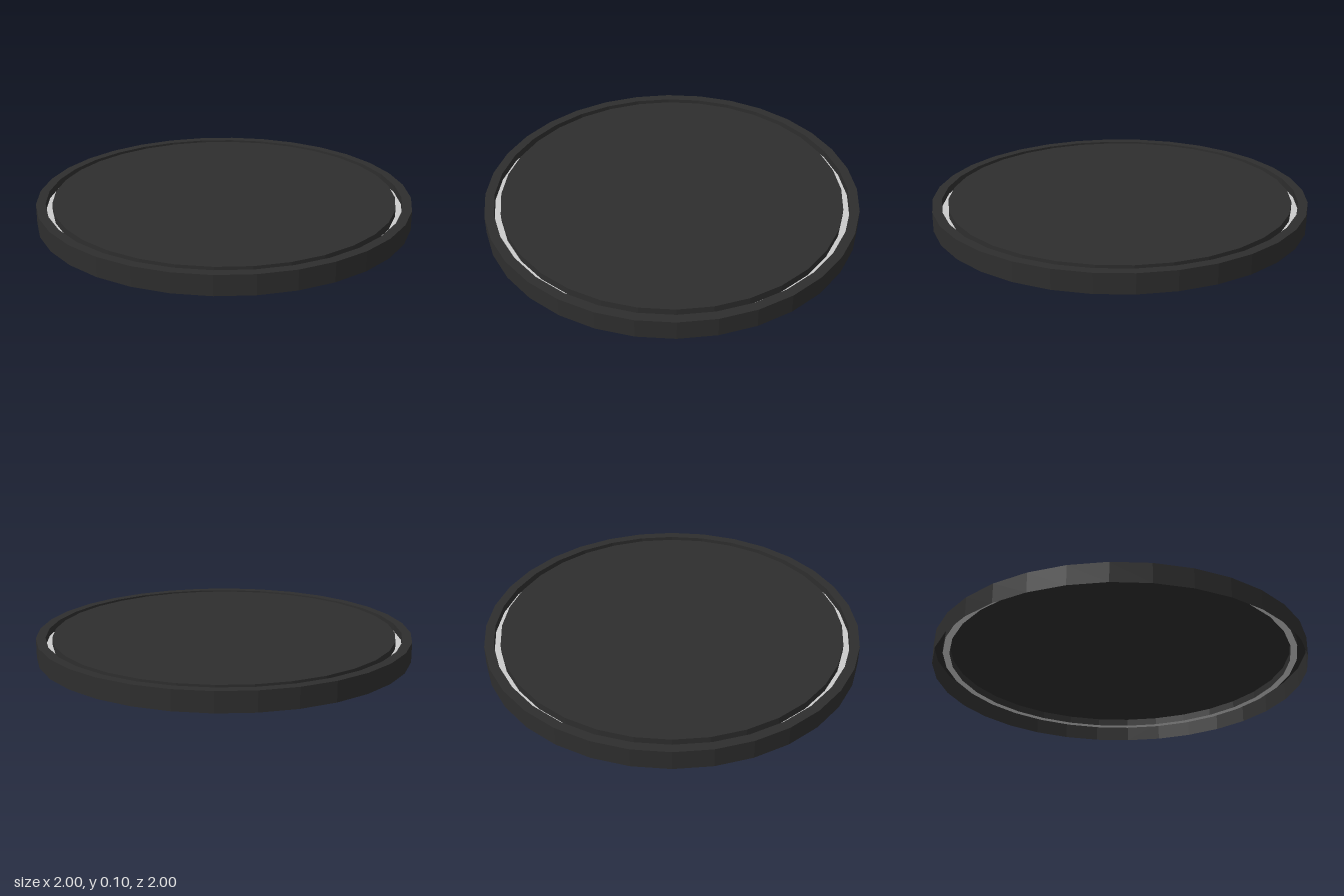
import * as THREE from 'three';

const SIDES = 32;
const TOP = 0.105;    // height of rim and disc
const FLOOR = 0.065;  // bottom of the groove
const OUTER = 1, GROOVE_OUT = 0.95, GROOVE_IN = 0.915;

const dark = new THREE.MeshStandardMaterial({ color: 0x2e2e2e, flatShading: true, side: THREE.DoubleSide });
const light = new THREE.MeshStandardMaterial({ color: 0xcccccc, flatShading: true, side: THREE.DoubleSide });

// Revolve a [radius, height] profile, listed from the axis-side bottom outward
function ring(name, profile, material) {
  const points = profile.map(([r, y]) => new THREE.Vector2(r, y));
  const mesh = new THREE.Mesh(new THREE.LatheGeometry(points, SIDES), material);
  mesh.name = name;
  return mesh;
}

export function createModel() {
  const group = new THREE.Group();
  group.name = 'roundBase';

  // Outer skirt, flat rim and the groove's outer wall; hollow underneath
  group.add(ring('rim', [[OUTER, 0], [OUTER, TOP], [GROOVE_OUT, TOP], [GROOVE_OUT, FLOOR]], dark));

  // Light floor of the groove
  group.add(ring('grooveFloor', [[GROOVE_OUT, FLOOR], [GROOVE_IN, FLOOR]], light));

  // Raised central disc with its short wall, open below
  group.add(ring('disc', [[GROOVE_IN, FLOOR], [GROOVE_IN, TOP], [0, TOP]], dark));

  return group;
}
